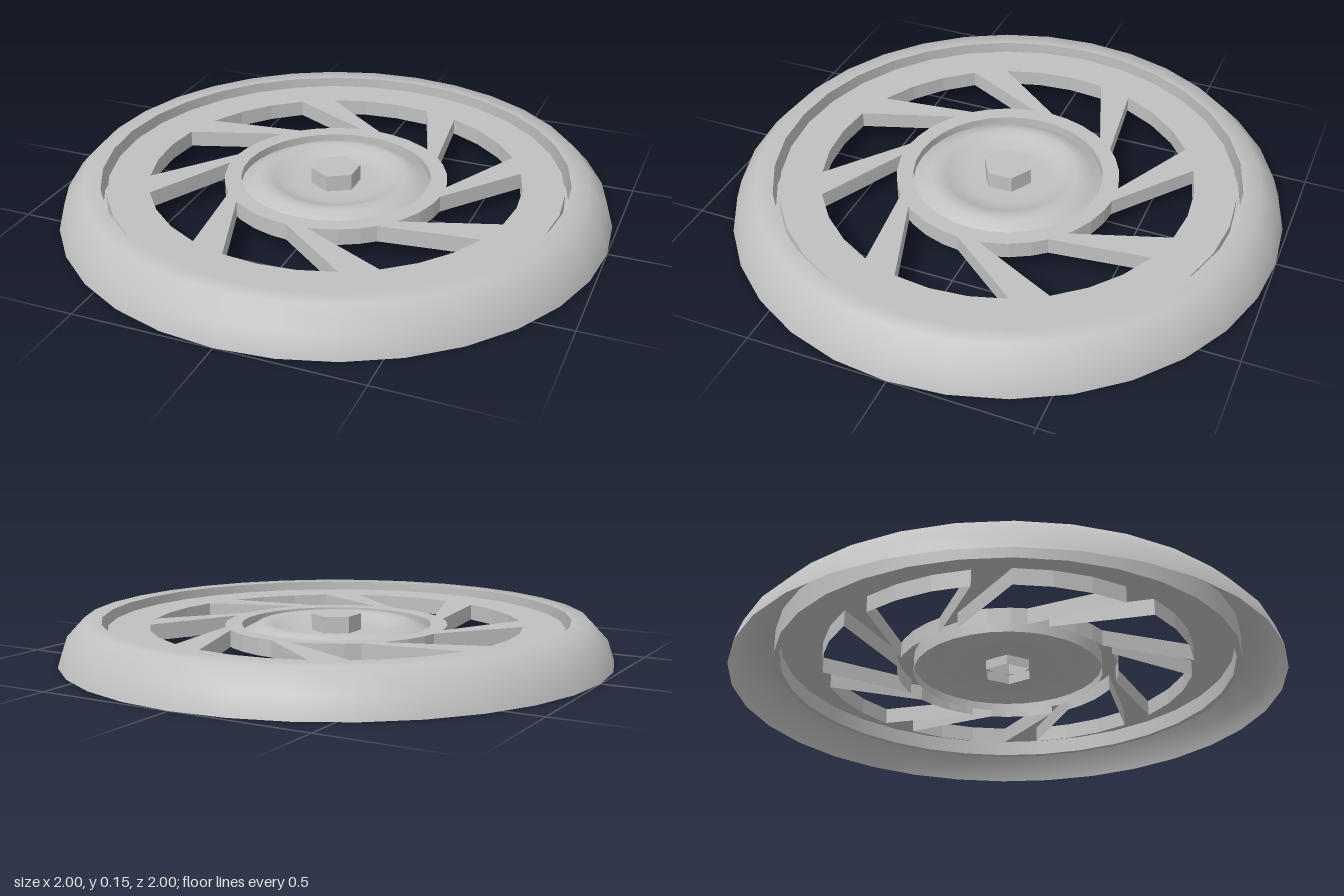
import * as THREE from 'three';

const SIDES = 32;
const TOP = 0.115;   // level of the spoke plate
const LOW = 0.055;   // lower edge of the hanging walls

export function createModel() {
  const wheel = new THREE.Group();
  wheel.name = 'wheel';
  const grey = new THREE.MeshStandardMaterial({ color: 0xc0c0c0, side: THREE.DoubleSide });
  grey.name = 'grey';

  const add = (name, geometry) => {
    const mesh = new THREE.Mesh(geometry, grey);
    mesh.name = name;
    wheel.add(mesh);
    return mesh;
  };
  const lathe = (name, profile) =>
    add(name, new THREE.LatheGeometry(profile.map(([r, y]) => new THREE.Vector2(r, y)), SIDES));
  const polar = (r, degrees) => {
    const a = THREE.MathUtils.degToRad(degrees);
    return new THREE.Vector2(r * Math.cos(a), r * Math.sin(a));
  };
  const ring = (r) => Array.from({ length: SIDES }, (_, i) => polar(r, (i * 360) / SIDES));

  // Tyre: open rounded shell with a groove against the plate
  lathe('tyre', [[1, 0], [0.975, 0.075], [0.91, 0.145], [0.845, 0.145]]);
  lathe('tyreInnerWall', [[0.845, 0.145], [0.845, LOW]]);
  lathe('grooveFloor', [[0.845, LOW], [0.825, LOW]]);
  lathe('plateOuterWall', [[0.825, LOW], [0.825, TOP]]);

  // Spoke plate: eight slanted openings leave tapering spokes
  const plate = new THREE.Shape(ring(0.825));
  const holes = [];
  for (let i = 0; i < 8; i++) {
    const outer = [33.75, 45, 56.25, 67.5].map((a) => polar(0.675, a + i * 45));
    const inner = [42, 33.75, 22.5, 11.25, 7.5].map((a) => polar(0.405, a + i * 45));
    holes.push([...outer, ...inner]);
  }
  plate.holes = [...holes, ring(0.345)].map((points) => new THREE.Path(points));
  const plateGeometry = new THREE.ShapeGeometry(plate);
  plateGeometry.rotateX(-Math.PI / 2);
  add('spokePlate', plateGeometry).position.y = TOP;

  // Walls hanging from the edges of the openings
  const corners = [];
  for (const hole of holes) {
    hole.forEach((p, i) => {
      const q = hole[(i + 1) % hole.length];
      const corner = (v, y) => [v.x, y, -v.y];
      corners.push(
        ...corner(p, LOW), ...corner(p, TOP), ...corner(q, LOW),
        ...corner(q, LOW), ...corner(p, TOP), ...corner(q, TOP));
    });
  }
  const walls = new THREE.BufferGeometry();
  walls.setAttribute('position', new THREE.Float32BufferAttribute(corners, 3));
  walls.computeVertexNormals();
  add('openingWalls', walls);

  // Hub: sunken dish with a rounded ridge
  lathe('hubWall', [[0.345, TOP], [0.345, LOW]]);
  lathe('hubDish', [
    [0.345, 0.085], [0.315, 0.1], [0.285, 0.118], [0.255, 0.122], [0.225, 0.112],
    [0.19, 0.096], [0.15, 0.09], [0.08, 0.09],
  ]);

  // Hexagonal nut, open underneath
  const nutHeight = 0.15 - LOW;
  const nutSides = new THREE.CylinderGeometry(0.09, 0.09, nutHeight, 6, 1, true).toNonIndexed();
  nutSides.computeVertexNormals();
  add('nutSides', nutSides).position.y = LOW + nutHeight / 2;
  const nutTop = new THREE.CircleGeometry(0.09, 6, Math.PI / 2);
  nutTop.rotateX(-Math.PI / 2);
  add('nutTop', nutTop).position.y = 0.15;

  return wheel;
}
